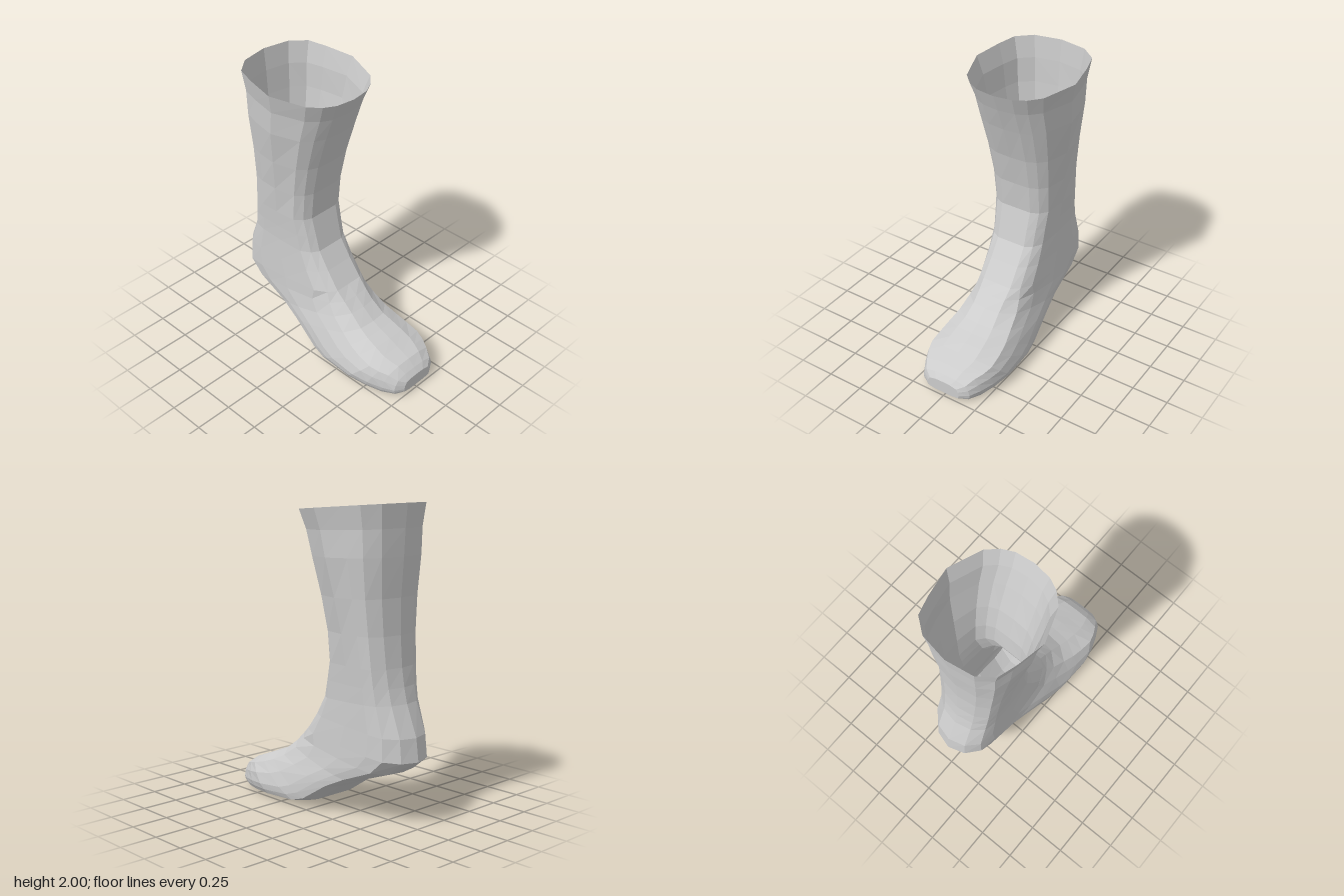
import * as THREE from 'three';

// Half cross-sections from front (t = 0) to back or sole (t = 1): [t, width fraction]
const CALF = [[0, 0], [0.02, 0.35], [0.07, 0.57], [0.16, 0.77], [0.45, 1], [0.7, 0.9], [0.86, 0.8], [0.96, 0.52], [1, 0]];
const ANKLE = [[0, 0], [0, 0.5], [0.05, 0.75], [0.15, 0.94], [0.45, 1], [0.72, 1], [0.86, 0.92], [0.96, 0.55], [1, 0]];
const FOOT = [[0, 0], [0.02, 0.45], [0.15, 0.84], [0.38, 0.95], [0.65, 1], [0.8, 0.98], [0.92, 0.93], [1, 0.55], [1, 0]];

// Stations fan from the open rim, round the heel, to the toe:
// front z, front y, back z, back y, half width, shape (0 calf, 1 ankle, 2 foot)
const STATIONS = [
  [0.15, 1.94, -0.635, 2.0, 0.36, 0],
  [0.1, 1.82, -0.62, 1.85, 0.328, 0],
  [0.04, 1.66, -0.61, 1.68, 0.315, 0.1],
  [-0.04, 1.42, -0.59, 1.43, 0.272, 0.4],
  [-0.09, 1.2, -0.59, 1.2, 0.238, 0.7],
  [-0.11, 1.0, -0.605, 1.0, 0.218, 1],
  [-0.08, 0.88, -0.625, 0.88, 0.21, 1],
  [-0.05, 0.76, -0.65, 0.78, 0.205, 1],
  [0.03, 0.64, -0.73, 0.58, 0.208, 1],
  [0.12, 0.52, -0.75, 0.43, 0.212, 1],
  [0.19, 0.46, -0.62, 0.34, 0.215, 1.5],
  [0.26, 0.4, -0.35, 0.25, 0.225, 2],
  [0.35, 0.33, -0.2, 0.18, 0.245, 2],
  [0.42, 0.3, 0, 0.05, 0.268, 2],
  [0.5, 0.27, 0.1, 0.02, 0.28, 2],
  [0.57, 0.24, 0.35, 0.01, 0.285, 2],
  [0.62, 0.22, 0.5, 0.005, 0.262, 2],
  [0.67, 0.2, 0.62, 0, 0.225, 2],
  [0.72, 0.155, 0.71, 0.015, 0.185, 2],
  [0.75, 0.12, 0.75, 0.03, 0.125, 2],
];

// Blend the cross-sections, then mirror the half into a closed ring
function ringPoints([fz, fy, bz, by, w, shape]) {
  const [from, to, k] = shape <= 1 ? [CALF, ANKLE, shape] : [ANKLE, FOOT, shape - 1];
  const half = from.map(([t, x], i) => {
    const s = THREE.MathUtils.lerp(t, to[i][0], k);
    const px = w * THREE.MathUtils.lerp(x, to[i][1], k);
    return [px, fy + (by - fy) * s, fz + (bz - fz) * s];
  });
  const mirrored = half.slice(1, -1).reverse().map(([x, y, z]) => [-x, y, z]);
  return [...half, ...mirrored];
}

function loftGeometry(rings) {
  const n = rings[0].length;
  const index = [];
  for (let j = 0; j < rings.length - 1; j++) {
    for (let i = 0; i < n; i++) {
      const a = j * n + i;
      const b = j * n + (i + 1) % n;
      index.push(a, a + n, b, b, a + n, b + n);
    }
  }
  // Flat toe end
  const last = (rings.length - 1) * n;
  for (let i = 1; i < n - 1; i++) index.push(last, last + i + 1, last + i);

  const geometry = new THREE.BufferGeometry();
  geometry.setAttribute('position', new THREE.Float32BufferAttribute(rings.flat(2), 3));
  geometry.setIndex(index);
  geometry.computeVertexNormals();
  return geometry;
}

export function createModel() {
  const group = new THREE.Group();
  group.name = 'boot';
  const material = new THREE.MeshStandardMaterial({
    color: 0xcccccc, flatShading: true, side: THREE.DoubleSide,
  });
  // Shaft, foot and sole in one open-topped shell
  const shell = new THREE.Mesh(loftGeometry(STATIONS.map(ringPoints)), material);
  shell.name = 'bootShell';
  group.add(shell);
  return group;
}
